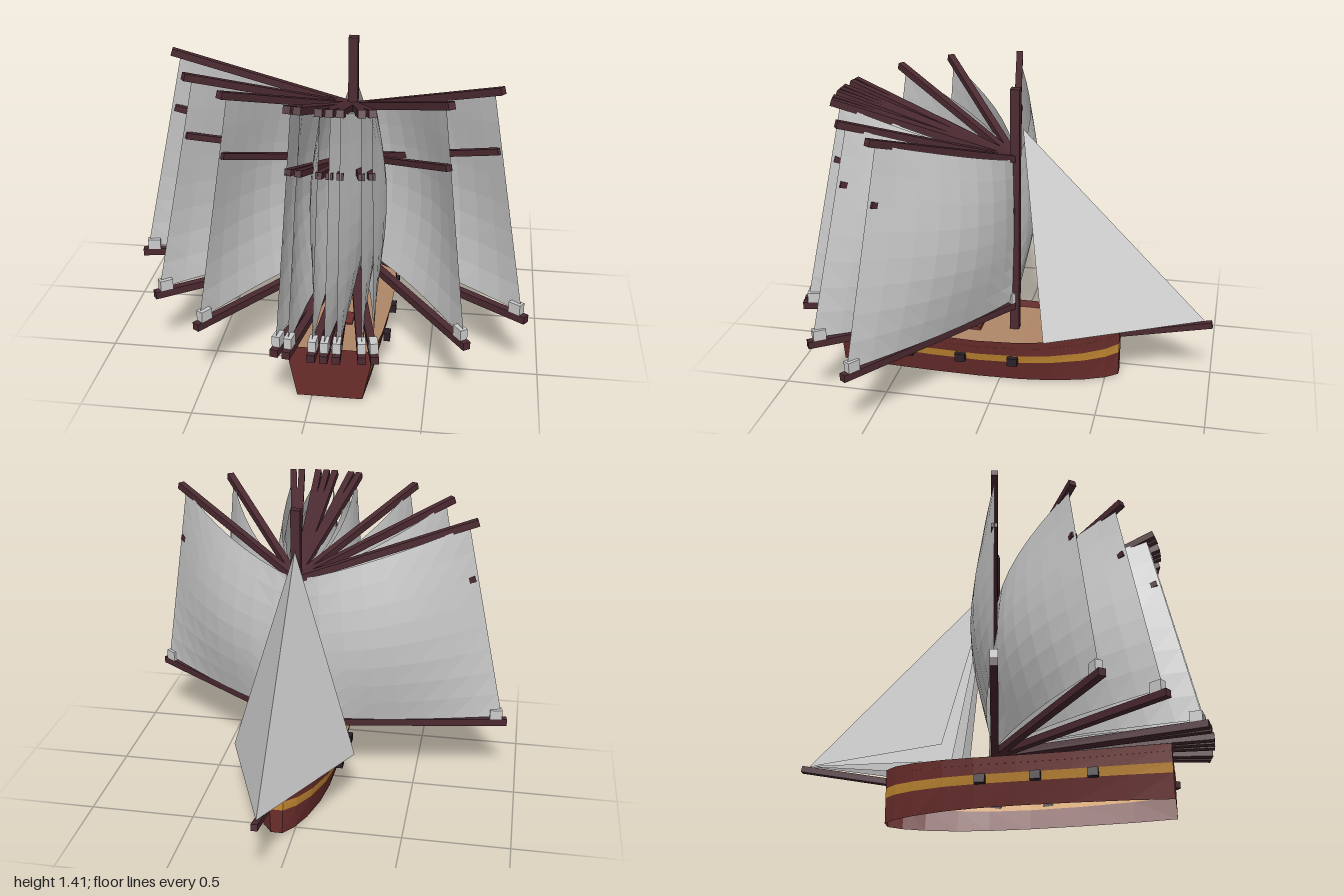
import * as THREE from 'three';

const mat = (color) => new THREE.MeshStandardMaterial({ color, flatShading: true, side: THREE.DoubleSide });
const CX = 0.08; // centreline of the boat
const MAST_Z = -0.04;

// Surface through a grid of points given by fn(i, j) -> [x, y, z]
function grid(nu, nv, fn) {
  const pos = [], idx = [];
  for (let j = 0; j <= nv; j++) for (let i = 0; i <= nu; i++) pos.push(...fn(i, j));
  for (let j = 0; j < nv; j++) {
    for (let i = 0; i < nu; i++) {
      const a = j * (nu + 1) + i, b = a + 1, c = a + nu + 1, d = c + 1;
      idx.push(a, b, d, a, d, c);
    }
  }
  const g = new THREE.BufferGeometry();
  g.setAttribute('position', new THREE.Float32BufferAttribute(pos, 3));
  g.setIndex(idx);
  g.computeVertexNormals();
  return g;
}

export function createModel() {
  const root = new THREE.Group();
  root.name = 'sailingBoat';
  const red = mat(0x6b2e2c), gold = mat(0xc58a32), tan = mat(0xb08767);
  const wood = mat(0x4b2a31), dark = mat(0x2b2129), cloth = mat(0xcccccc);

  const add = (parent, name, geo, material) => {
    const m = new THREE.Mesh(geo, material);
    m.name = name;
    parent.add(m);
    return m;
  };
  const box = (parent, name, size, at, material) => {
    const m = add(parent, name, new THREE.BoxGeometry(...size), material);
    m.position.set(...at);
    return m;
  };
  // Square spar in the parent's fore-and-aft plane, between two [y, z] points
  const spar = (parent, name, x, [y0, z0], [y1, z1], t) => {
    const m = box(parent, name, [t, t, Math.hypot(y1 - y0, z1 - z0)], [x, (y0 + y1) / 2, (z0 + z1) / 2], wood);
    m.rotation.x = -Math.atan2(y1 - y0, z1 - z0);
  };

  // Hull: half-widths of the rail from stern to bow
  const stations = [[0.8, 0.19], [0.6, 0.215], [0.35, 0.23], [0.1, 0.235], [-0.1, 0.225],
    [-0.25, 0.2], [-0.4, 0.15], [-0.5, 0.095], [-0.56, 0.035]];
  const sheer = (z) => 0.222 + 0.041 * ((z < 0.1 ? (0.1 - z) / 0.66 : (z - 0.1) / 0.85) ** 2);
  const plan = [...stations.map(([z, w]) => [w, z]), ...[...stations].reverse().map(([z, w]) => [-w, z])];
  const hullPoint = ([w, z], t) => [CX + w * (0.77 + 0.23 * Math.min(1, t * 1.15)), sheer(z) * t, z];

  const hull = new THREE.Group();
  hull.name = 'hull';
  root.add(hull);
  [['lowerPlanking', 0, 0.47, red], ['stripe', 0.47, 0.65, gold], ['upperPlanking', 0.65, 1, red]]
    .forEach(([name, t0, t1, m]) => add(hull, name,
      grid(plan.length - 1, 1, (i, j) => hullPoint(plan[i], j ? t1 : t0)), m));
  add(hull, 'transom', grid(1, 2, (i, j) => hullPoint([i ? 0.19 : -0.19, 0.8], [0, 0.65, 1][j])), red);
  add(hull, 'deck', grid(1, stations.length - 1, (i, j) => {
    const [z, w] = stations[j];
    return [CX + (i ? w : -w) * 0.98, sheer(z) - 0.035, z];
  }), tan);
  for (const z of [0.17, 0.45]) box(hull, 'hatch', [0.13, 0.03, 0.1], [CX, 0.19, z], red);

  // Gun ports on both sides
  for (const s of [-1, 1]) {
    for (const [z, w] of [[0.445, 0.222], [0.185, 0.228], [-0.07, 0.222]]) {
      box(hull, 'gunPort', [0.03, 0.04, 0.05], [CX + s * w, 0.122, z], dark);
    }
  }

  // Mast and bowsprit
  box(root, 'mast', [0.045, 1.23, 0.045], [CX, 0.795, MAST_Z], wood);
  spar(root, 'bowsprit', CX, [0.21, -0.54], [0.306, -0.995], 0.03);

  // One swung sail with its boom and gaffs; local +z runs along the boom
  const N = 8;
  function sailSet(deg) {
    const g = new THREE.Group();
    g.name = 'sailSet';
    g.position.set(CX, 0, MAST_Z);
    g.rotation.y = THREE.MathUtils.degToRad(deg);
    root.add(g);
    const side = deg < 0 ? -1 : 1;
    spar(g, 'boom', 0, [0.318, 0], [0.318, 1.035], 0.035);
    spar(g, 'gaff', 0, [1.07, 0], [1.35, 0.84], 0.033);
    spar(g, 'lowerGaff', 0, [0.81, 0], [1.075, 0.84], 0.028);
    add(g, 'sail', grid(N, N, (i, j) => {
      const u = i / N, v = j / N;
      const belly = 0.115 * Math.sin(Math.PI * u ** 0.85) * (0.3 + 0.25 * v + 0.55 * Math.sin(Math.PI * v));
      const top = 1.065 + 0.265 * u;
      return [side * belly, 0.345 + (top - 0.345) * v, u * (1.01 - 0.21 * v)];
    }), cloth);
    box(g, 'clew', [0.035, 0.05, 0.06], [0, 0.36, 0.98], cloth);
    box(g, 'tack', [0.035, 0.05, 0.04], [0, 0.36, 0.02], cloth);
  }
  [-80, -55, -35, -12, -9, -3, 0, 3, 9, 12, 35, 55].forEach(sailSet);

  // Jibs fanning out from the forestay
  for (const x of [-0.235, -0.02, 0.18, 0.355]) {
    const jib = new THREE.BufferGeometry().setFromPoints([
      new THREE.Vector3(CX, 1.22, -0.075),
      new THREE.Vector3(CX, 0.32, -0.96),
      new THREE.Vector3(x, 0.265, -0.228),
    ]);
    jib.computeVertexNormals();
    add(root, 'jib', jib, cloth);
  }
  return root;
}
